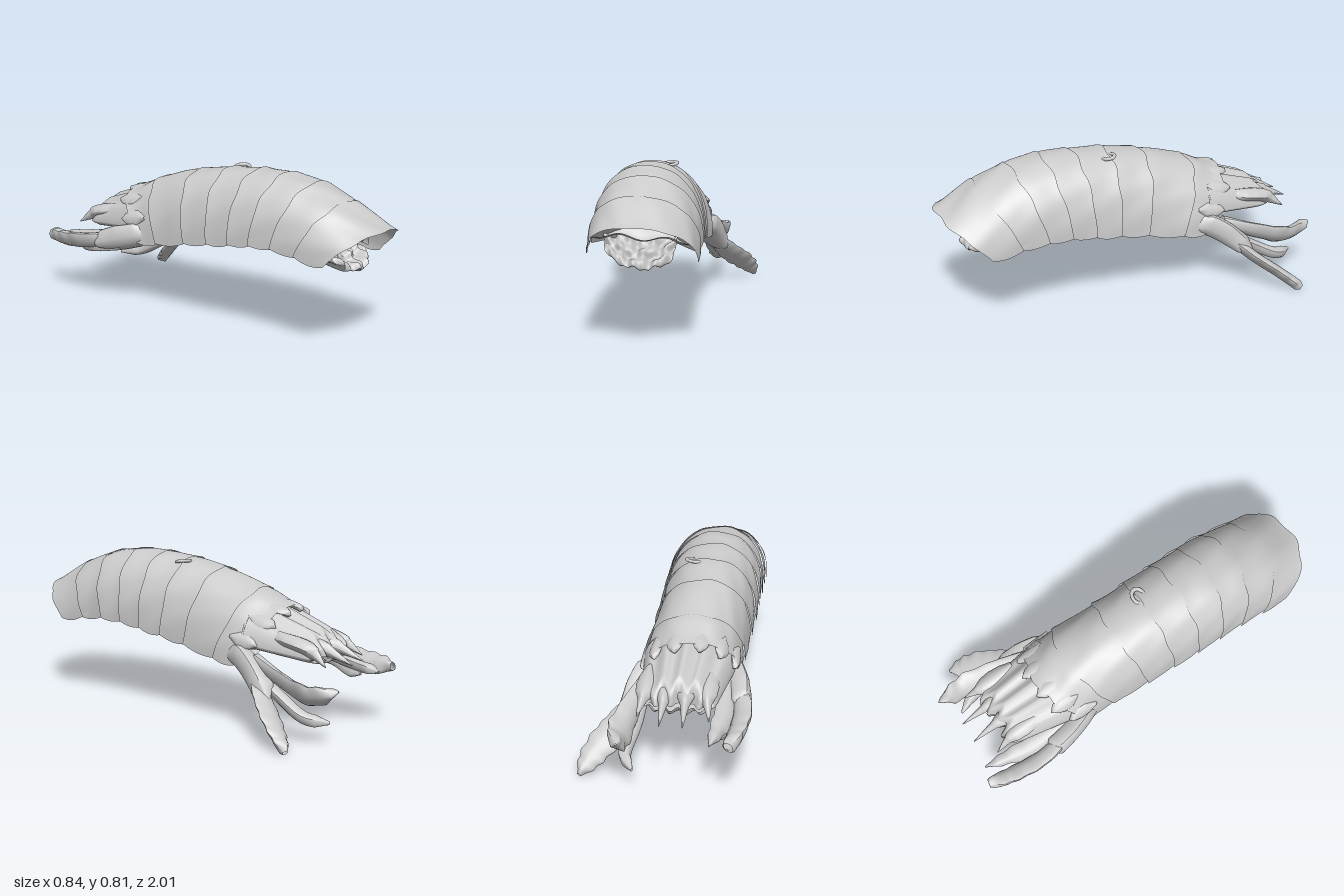
import * as THREE from 'three';

const V = (p) => new THREE.Vector3(...p);
const mat = new THREE.MeshStandardMaterial({ color: 0xcccccc, side: THREE.DoubleSide });
const lerp = THREE.MathUtils.lerp;

// Surface grid: f(u, v) returns a point, u and v run 0..1
function grid(f, nu, nv) {
  const pos = [], idx = [];
  for (let i = 0; i <= nu; i++) for (let j = 0; j <= nv; j++) pos.push(...f(i / nu, j / nv));
  for (let i = 0; i < nu; i++) for (let j = 0; j < nv; j++) {
    const a = i * (nv + 1) + j, b = a + nv + 1;
    idx.push(a, a + 1, b, b, a + 1, b + 1);
  }
  const g = new THREE.BufferGeometry();
  g.setAttribute('position', new THREE.Float32BufferAttribute(pos, 3));
  g.setIndex(idx);
  g.computeVertexNormals();
  return g;
}

// Body sections, front to back: z of the crest, crest y, rim y, centre x, half width
const ROWS = [
  [1, 0.61, 0.455, -0.13, 0.258], [0.8, 0.715, 0.48, -0.13, 0.262], [0.6, 0.79, 0.495, -0.125, 0.262],
  [0.4, 0.815, 0.485, -0.125, 0.26], [0.2, 0.805, 0.46, -0.12, 0.257], [0, 0.78, 0.435, -0.115, 0.252],
  [-0.2, 0.735, 0.405, -0.105, 0.25], [-0.4, 0.67, 0.375, -0.09, 0.25], [-0.55, 0.61, 0.36, -0.09, 0.245],
];
function section(z) {
  let i = 0;
  while (i < ROWS.length - 2 && z < ROWS[i + 1][0]) i++;
  const t = (ROWS[i][0] - z) / (ROWS[i][0] - ROWS[i + 1][0]);
  return ROWS[i].map((a, k) => {
    const b = ROWS[i + 1][k], p = (ROWS[i - 1] || ROWS[i])[k], n = (ROWS[i + 2] || ROWS[i + 1])[k];
    const h = t * t * (3 - 2 * t), m0 = (b - p) / 2, m1 = (n - a) / 2;
    return k === 0 ? z : a + (b - a) * h + m0 * t * (1 - t) ** 2 - m1 * t * t * (1 - t);
  });
}
// Rings fan around the bend: the rims lie closer together than the crest
const fan = (z, sin) => z + lerp(0.17, -0.19, (z + 0.55) / 1.55) * (1 - sin);

function ringPoint(z, v, swell, drop) {
  const [, top, rim, cx, hw] = section(z);
  const a = Math.PI * v, s = Math.sin(a), c = Math.cos(a);
  const wob = 0.008 * Math.sin(23 * z + 9 * a) * Math.sin(5 * a - 7 * z);
  const r = 1 + swell + wob;
  return [cx + hw * r * Math.sign(c) * Math.abs(c) ** 0.92,
    rim - drop * (1 - s) ** 3 - 0.018 * c + (top - rim) * s ** 0.92 * (1 + (swell + wob) * 0.5),
    fan(z, s) + 0.008 * Math.sin(9 * a + 17 * z) * s];
}

// Limb or spine with an elliptical section swept along a path
function blade(path, width, thick, side, teeth = 0) {
  const curve = new THREE.CatmullRomCurve3(path.map(V));
  const wide = V(side).normalize();
  return grid((u, v) => {
    const p = curve.getPoint(u), t = curve.getTangent(u), a = v * Math.PI * 2;
    const n = new THREE.Vector3().crossVectors(t, wide).normalize();
    const w = new THREE.Vector3().crossVectors(n, t);
    const k = u * (width.length - 1), i = Math.min(Math.floor(k), width.length - 2);
    const size = lerp(width[i], width[i + 1], k - i);
    const saw = 1 + (teeth ? 0.12 * Math.sin(u * teeth * 6.28) * u : 0);
    p.addScaledVector(w, Math.cos(a) * size * saw)
      .addScaledVector(n, Math.sin(a) * Math.min(thick, size) * (1 - 0.3 * Math.cos(2 * a)));
    return [p.x, p.y, p.z];
  }, 40, 16);
}

export function createModel() {
  const model = new THREE.Group();
  const add = (name, geo, parent = model) => {
    const m = new THREE.Mesh(geo, mat);
    m.name = name;
    parent.add(m);
    return m;
  };
  const group = (name) => {
    const g = new THREE.Group();
    g.name = name;
    model.add(g);
    return g;
  };

  // Overlapping shell plates, each flaring towards its rear edge
  const shell = group('shell');
  const cuts = [1, 0.8, 0.62, 0.45, 0.28, 0.1, -0.1, -0.36, -0.55];
  for (let i = 0; i < cuts.length - 1; i++) {
    const z0 = cuts[i] + (i ? 0.02 : 0), z1 = cuts[i + 1] - (i < 7 ? 0.012 : 0);
    add('shellPlate' + (i + 1), grid((u, v) => {
      const z = lerp(z0, z1, u), lip = i ? 0.045 * u * u - 0.02 : 0.02 * u;
      const bulge = 0.01 * Math.sin(u * Math.PI * 2) * Math.sin(v * Math.PI);
      return ringPoint(z, v, lip + bulge, 0.03 * Math.sin(Math.PI * Math.min(1, u * 0.7 + 0.15)));
    }, 18, 64), shell);
  }

  // Small scar on the crest
  const scar = add('shellScar', new THREE.TorusGeometry(0.04, 0.012, 8, 24));
  scar.rotation.set(-Math.PI / 2 + 0.15, -0.12, 0);
  scar.position.set(-0.05, 0.781, 0.1);
  scar.scale.set(1, 0.8, 0.7);

  // Ribbed hollow belly
  add('belly', grid((u, v) => {
    const z = lerp(0.9, -0.55, u), [, , rim, cx, hw] = section(z);
    const a = Math.PI * v, s = Math.sin(a), c = Math.cos(a);
    const rib = Math.cos(u * Math.PI * 16 + 2 * s) * (1 - u ** 6);
    const lump = 0.013 * Math.sin(v * 22 + u * 9) * s;
    return [cx - hw * 0.98 * c, rim - 0.01 + lerp(0.08, 0.035, u ** 3) * s ** 0.7 + 0.018 * c + 0.026 * rib * s + lump,
      fan(z, 0.1 + 0.1 * s)];
  }, 128, 48));

  // Inner wall closing the hollow behind the front opening
  add('innerWall', grid((u, v) => {
    const [x, y, z] = ringPoint(0.88, v, -0.06, 0);
    return [lerp(-0.12, x, u), lerp(0.53, y, u), lerp(0.62, z, u)];
  }, 12, 40));

  // Terraced flesh sagging out of the front opening and folding back below
  const slope = new THREE.CatmullRomCurve3([[0, 0.52, 0.58], [0, 0.505, 0.7], [0, 0.475, 0.72], [0, 0.465, 0.79],
    [0, 0.435, 0.8], [0, 0.428, 0.86], [0, 0.4, 0.87], [0, 0.405, 0.8], [0, 0.44, 0.64]].map(V));
  add('frontFlesh', grid((u, v) => {
    const p = slope.getPoint(u), c = 2 * v - 1;
    const ruffle = 0.008 * Math.sin(v * 19 + u * 8) + 0.005 * Math.sin(v * 41 - u * 5);
    return [-0.145 + c * (0.19 - 0.045 * u), p.y + lerp(0.075, 0.045, u) * c * c * (0.6 + 0.4 * c * c) - 0.015 * c + ruffle,
      p.z - 0.06 * c * c + ruffle];
  }, 60, 64));

  // Flattened leg stubs slanting inwards from both rims
  const stubs = group('legStubs');
  for (let i = 0; i < 6; i++) for (const s of [-1, 1]) {
    const z = 0.62 - i * 0.17, [, , rim, cx, hw] = section(z);
    const m = add('legStub', new THREE.SphereGeometry(1, 18, 12), stubs);
    m.scale.set(0.09, 0.022, 0.036);
    m.position.set(cx + s * hw * 0.62, rim + 0.03 - s * 0.012, fan(z, 0.1));
    m.rotation.set(0, s * 0.35, -s * 0.4);
  }

  // Tail plate with lengthwise keels, a domed top and a notched end
  add('tailPlate', grid((u, v) => {
    const a = v * Math.PI * 2, s = Math.sin(a), c = Math.cos(a);
    const keel = s > 0 ? 0.02 * Math.cos(c * 14) * s * Math.min(1, u * 4) : 0;
    const close = u > 0.85 ? Math.sqrt(Math.max(0, 1 - ((u - 0.85) / 0.15) ** 2)) : 1;
    const h = (s > 0 ? lerp(0.19, 0.1, u) : 0.045) * (0.15 + 0.85 * close);
    return [lerp(-0.09, -0.075, u) + lerp(0.235, 0.17, u) * c * (0.88 + 0.12 * close),
      lerp(0.44, 0.395, u) + h * s + keel * close, lerp(-0.4, -0.8 + 0.025 * Math.cos(c * 14), u)];
  }, 40, 72));
  add('tailRootCap', grid((u, v) => {
    const a = v * Math.PI * 2, s = Math.sin(a);
    return [-0.09 + 0.235 * u * Math.cos(a), 0.44 + u * s * (s > 0 ? 0.19 : 0.06), -0.45 + 0.04 * u];
  }, 6, 32));

  // Long spines on the end of the tail plate
  const spines = group('tailSpines');
  for (const [x, tip, z] of [[-0.21, -0.23, -0.88], [-0.11, -0.115, -0.95], [-0.01, -0.005, -0.95], [0.085, 0.11, -0.87]]) {
    add('tailSpine', blade([[x, 0.48, -0.58], [x, 0.445, -0.76], [tip, 0.375, z]],
      [0.025, 0.045, 0.052, 0.046, 0.022, 0.012, 0.002], 0.028, [1, 0, 0]), spines);
  }
  // Short flat teeth on the rear edge of the last shell plate
  const teeth = group('shellTeeth');
  for (let i = 0; i < 6; i++) {
    const v = 0.14 + i * 0.144, [x, y, z] = ringPoint(-0.53, v, 0, 0);
    add('shellTooth', blade([[x, y + 0.005, z + 0.1], [x, y - 0.01, z], [x, y - 0.03, z - 0.06]],
      [0.01, 0.04, 0.042, 0.03, 0.002], 0.014, [Math.sin(Math.PI * v), -Math.cos(Math.PI * v), 0]), teeth);
  }

  // Left tail limb, spread out and down
  const left = group('leftTailLimb');
  add('limbBase', blade([[0.09, 0.4, -0.3], [0.14, 0.35, -0.43], [0.185, 0.27, -0.54], [0.23, 0.2, -0.62]],
    [0.03, 0.08, 0.075, 0.055, 0.01], 0.045, [0.5, 0.7, 0]), left);
  add('outerBlade', blade([[0.18, 0.27, -0.52], [0.25, 0.18, -0.62], [0.34, 0.09, -0.74], [0.4, 0.015, -0.83]],
    [0.04, 0.06, 0.07, 0.075, 0.065, 0.05, 0.012], 0.022, [0.8, 0.5, 0.45], 6), left);
  add('innerBlade', blade([[0.13, 0.37, -0.48], [0.18, 0.29, -0.68], [0.205, 0.25, -0.84], [0.19, 0.29, -0.99]],
    [0.03, 0.055, 0.068, 0.078, 0.06, 0.004], 0.024, [0.6, 0.8, 0], 4), left);
  add('limbSpine', blade([[0.14, 0.31, -0.48], [0.165, 0.2, -0.66], [0.18, 0.13, -0.8], [0.13, 0.11, -0.91]],
    [0.04, 0.045, 0.038, 0.03, 0.006], 0.024, [1, 0.5, 0]), left);

  // Right tail limb, folded closer to the tail plate
  const right = group('rightTailLimb');
  add('limbBase', blade([[-0.26, 0.42, -0.3], [-0.315, 0.385, -0.43], [-0.35, 0.355, -0.56], [-0.365, 0.335, -0.66]],
    [0.03, 0.075, 0.08, 0.06, 0.01], 0.042, [-0.4, 0.8, 0]), right);
  add('outerBlade', blade([[-0.34, 0.37, -0.5], [-0.37, 0.33, -0.7], [-0.355, 0.31, -0.86], [-0.33, 0.315, -1]],
    [0.03, 0.055, 0.065, 0.065, 0.06, 0.02], 0.028, [-0.65, 0.6, 0], 5), right);
  add('innerBlade', blade([[-0.28, 0.39, -0.48], [-0.29, 0.33, -0.7], [-0.265, 0.31, -0.84], [-0.24, 0.3, -0.97]],
    [0.03, 0.05, 0.055, 0.045, 0.03, 0.004], 0.022, [0.8, 0.5, 0], 4), right);
  add('limbSpine', blade([[-0.33, 0.34, -0.48], [-0.34, 0.3, -0.66], [-0.29, 0.27, -0.78], [-0.235, 0.275, -0.87]],
    [0.04, 0.038, 0.03, 0.026, 0.006], 0.024, [0.6, 0.7, 0]), right);

  return model;
}
